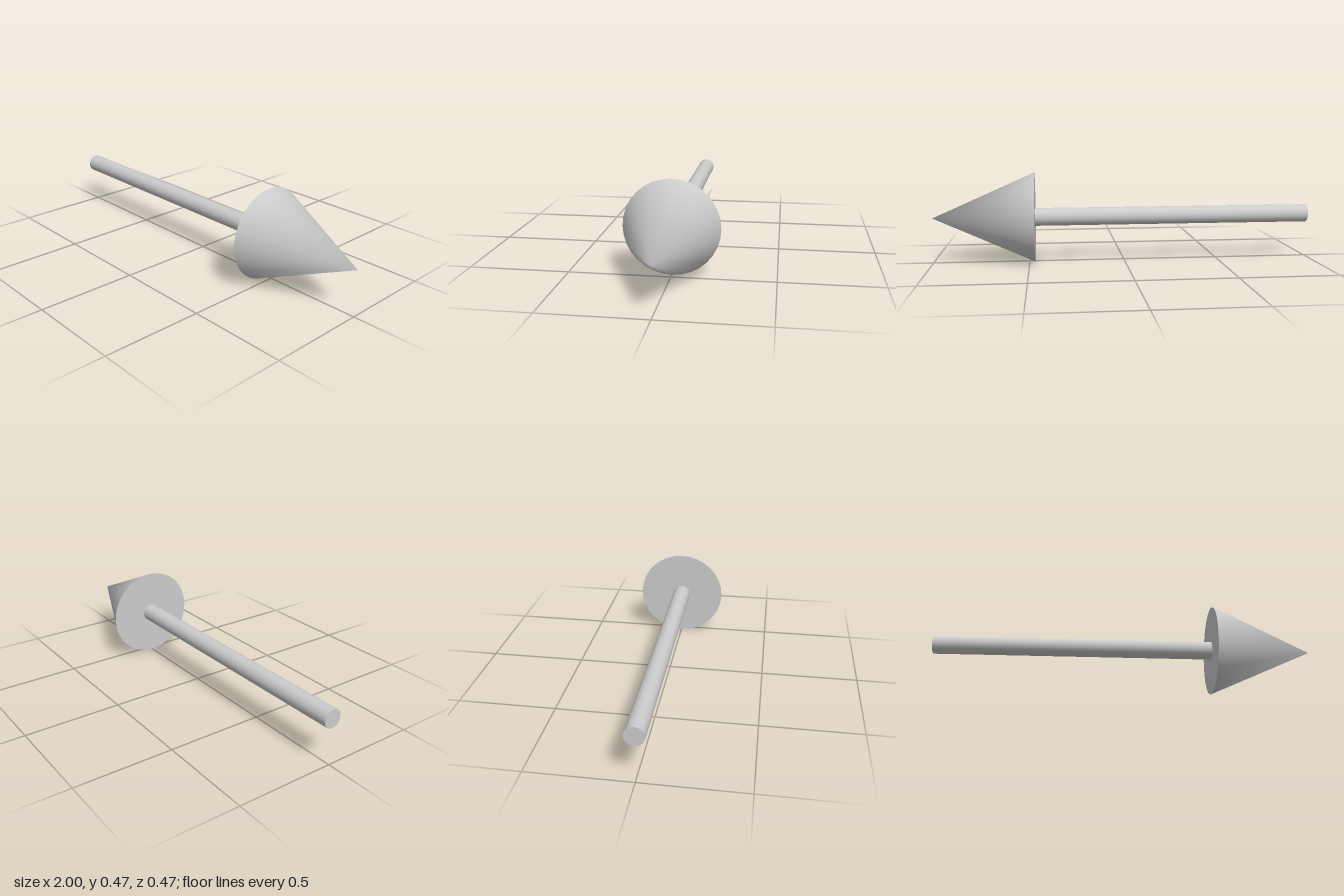
import * as THREE from 'three';

const SIDES = 32;
const HEAD_RADIUS = 0.235, SHAFT_RADIUS = 0.047;
const TAIL_X = -1, NECK_X = 0.47, TIP_X = 1;

// Lay a y-axis geometry along +x so that it spans x0 to x1
function alongX(geometry, x0, x1, name, material) {
  geometry.rotateZ(-Math.PI / 2);
  const mesh = new THREE.Mesh(geometry, material);
  mesh.position.set((x0 + x1) / 2, HEAD_RADIUS, 0);
  mesh.name = name;
  return mesh;
}

export function createModel() {
  const group = new THREE.Group();
  group.name = 'arrow';
  const material = new THREE.MeshStandardMaterial({ color: 0xcccccc });

  // Thin round shaft with capped ends
  const shaft = new THREE.CylinderGeometry(SHAFT_RADIUS, SHAFT_RADIUS, NECK_X - TAIL_X, SIDES);
  group.add(alongX(shaft, TAIL_X, NECK_X, 'shaft', material));

  // Conical head; all normals at the tip point along the axis for a rounded shading
  const head = new THREE.ConeGeometry(HEAD_RADIUS, TIP_X - NECK_X, SIDES);
  for (let i = 0; i <= SIDES; i++) head.attributes.normal.setXYZ(i, 0, 1, 0);
  group.add(alongX(head, NECK_X, TIP_X, 'head', material));

  return group;
}
